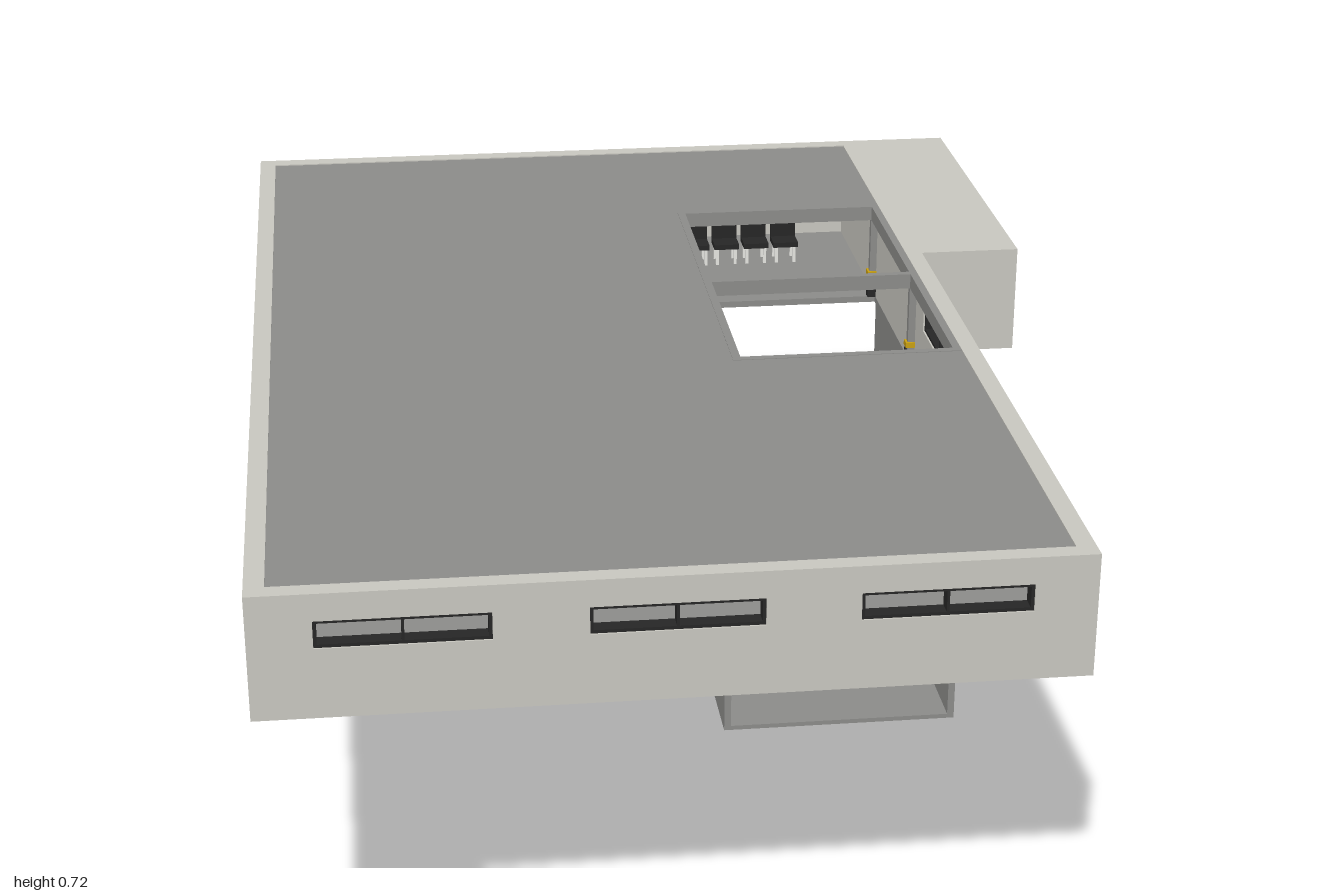
import * as THREE from 'three';

const mat = (name, color) => Object.assign(new THREE.MeshStandardMaterial({ color }), { name });

export function createModel() {
  const model = new THREE.Group();
  const plaster = mat('plaster', 0xc9c8c0);
  const concrete = mat('concrete', 0x8c8c8a);
  const deck = mat('rampDeck', 0x979794);
  const black = mat('blackMetal', 0x262626);
  const yellow = mat('safetyYellow', 0xc9a012);
  const white = mat('whitePaint', 0xe6e6e2);

  const add = (name, geo, m, parent = model) => {
    const mesh = new THREE.Mesh(geo, m);
    mesh.name = name;
    parent.add(mesh);
    return mesh;
  };
  // box given by its limits
  const box = (name, x0, x1, y0, y1, z0, z1, m, parent) => {
    const g = new THREE.BoxGeometry(x1 - x0, y1 - y0, z1 - z0);
    g.translate((x0 + x1) / 2, (y0 + y1) / 2, (z0 + z1) / 2);
    return add(name, g, m, parent);
  };
  const rect = (Type, x0, x1, y0, y1) => {
    const s = new Type();
    s.moveTo(x0, y0); s.lineTo(x1, y0); s.lineTo(x1, y1); s.lineTo(x0, y1); s.closePath();
    return s;
  };
  const extrude = (shape, depth) =>
    new THREE.ExtrudeGeometry(shape, { depth, bevelEnabled: false });

  // wall with window openings and slim frames, lying in its own xy plane
  const WY0 = 0.632, WY1 = 0.675, HALF = 0.126, T = 0.03;
  function windowWall(name, u0, u1, centres) {
    const group = new THREE.Group();
    group.name = name;
    const shape = rect(THREE.Shape, u0, u1, 0.525, 0.718);
    for (const c of centres) {
      shape.holes.push(rect(THREE.Path, c - HALF, c + HALF, WY0, WY1));
      const f = rect(THREE.Shape, c - HALF, c + HALF, WY0, WY1);
      const b = 0.005;
      f.holes.push(rect(THREE.Path, c - HALF + b, c - 0.002, WY0 + b, WY1 - b));
      f.holes.push(rect(THREE.Path, c + 0.002, c + HALF - b, WY0 + b, WY1 - b));
      add('windowFrame', extrude(f, 0.024), black, group).position.z = 0.003;
    }
    add(name + 'Panel', extrude(shape, T), plaster, group);
    model.add(group);
    return group;
  }
  const centres = [-0.48, -0.09, 0.3];
  windowWall('frontWall', -0.7, 0.52, centres).position.z = 1 - T;
  windowWall('backWall', -0.7, 0.5, centres).position.z = -1;
  const right = windowWall('sideWall', -1 + T, 0.3, [-0.775, -0.39, 0]);
  right.rotation.y = Math.PI / 2;
  right.position.x = 0.52 - T;
  box('blankSideWall', -0.7, -0.67, 0.525, 0.718, -1 + T, 1 - T, plaster);
  box('sideAnnex', 0.49, 0.7, 0.522, 0.718, -1, -0.3, plaster);

  // floor and roof slabs with the ramp opening
  const slab = (name, y, h, hole) => {
    const s = rect(THREE.Shape, -0.67, 0.49, -0.97, 0.97);
    s.holes.push(rect(THREE.Path, ...hole));
    const g = extrude(s, h);
    g.rotateX(-Math.PI / 2); // shape y becomes -z
    g.translate(0, y, 0);
    add(name, g, concrete);
  };
  slab('floorSlab', 0.52, 0.012, [0.1, 0.4895, -0.19, 0.58]);
  slab('roofSlab', 0.705, 0.011, [0.1, 0.4895, -0.19, 0.59]);
  for (const [x0, x1] of [[-0.7, -0.67], [0.49, 0.52]])
    box('floorEdge', x0, x1, 0.522, 0.525, x0 > 0 ? -0.3 : -1, 1, plaster);
  for (const z of [-1, 0.97]) box('floorEdge', -0.67, 0.49, 0.522, 0.525, z, z + T, plaster);

  // frame and posts around the opening
  for (const x of [0.1, 0.477])
    box('openingBeam', x, x + 0.014, 0.69, 0.717, -0.59, 0.19, concrete);
  for (const z of [-0.59, -0.205, 0.176]) {
    box('openingCrossBeam', 0.1, 0.49, 0.69, 0.717, z, z + 0.014, concrete);
    for (const x of [0.1, 0.477]) {
      box('openingPost', x, x + 0.013, 0.53, 0.69, z, z + 0.013, concrete);
      box('postGuard', x - 0.003, x + 0.016, 0.532, 0.57, z - 0.003, z + 0.016, black);
      box('postBand', x - 0.004, x + 0.017, 0.575, 0.585, z - 0.004, z + 0.017, yellow);
    }
  }

  // ramp housing, open at front and back
  box('housingWall', 0.09, 0.102, 0.02, 0.522, -0.58, 0.2, concrete);
  box('housingWall', 0.492, 0.504, 0.02, 0.522, -0.58, 0.2, concrete);
  box('housingFloor', 0.09, 0.504, 0.016, 0.024, -0.58, 0.2, concrete);

  // two parallel ramps climbing toward the front
  const SLOPE = 0.29;
  function ramp(name, zStart, yStart, arrows) {
    const group = new THREE.Group();
    group.name = name;
    model.add(group);
    const y = (z) => yStart + SLOPE * (z - zStart);
    const sloped = (part, x0, x1, z0, z1, lo, hi, m) => {
      const s = new THREE.Shape();
      s.moveTo(-z1, y(z1) + lo); s.lineTo(-z0, y(z0) + lo);
      s.lineTo(-z0, y(z0) + hi); s.lineTo(-z1, y(z1) + hi); s.closePath();
      const g = extrude(s, x1 - x0);
      g.rotateY(Math.PI / 2);
      g.translate(x0, 0, 0);
      add(part, g, m, group);
    };
    sloped('rampDeck', 0.118, 0.48, zStart, 0.199, 0, 0.014, deck);
    for (const x of [0.106, 0.48])
      sloped('rampParapet', x, x + 0.012, zStart, 0.199, 0.008, 0.083, concrete);
    for (const x of [0.118, 0.474])
      sloped('edgeStripe', x, x + 0.006, zStart, 0.18, 0.05, 0.062, yellow);
    for (const z of arrows) {
      sloped('arrowShaft', 0.293, 0.297, z - 0.03, z + 0.005, 0.014, 0.016, white);
      sloped('arrowHead', 0.288, 0.302, z - 0.01, z + 0.02, 0.014, 0.016, white);
    }
  }
  ramp('lowerRamp', -0.82, 0, [-0.55, -0.25, 0.05]);
  ramp('upperRamp', -0.578, 0.282, [-0.37, -0.07]);

  // row of dark seats on pale legs near the back wall
  for (let i = 0; i < 6; i++) {
    const x = 0.02 + i * 0.06;
    const seat = new THREE.Group();
    seat.name = 'seat';
    box('seatPad', x, x + 0.05, 0.565, 0.575, -0.84, -0.79, black, seat);
    box('seatBack', x, x + 0.05, 0.575, 0.62, -0.84, -0.832, black, seat);
    for (const dx of [0.004, 0.04]) for (const z of [-0.836, -0.8])
      box('seatLeg', x + dx, x + dx + 0.006, 0.532, 0.565, z, z + 0.006, white, seat);
    model.add(seat);
  }
  return model;
}
